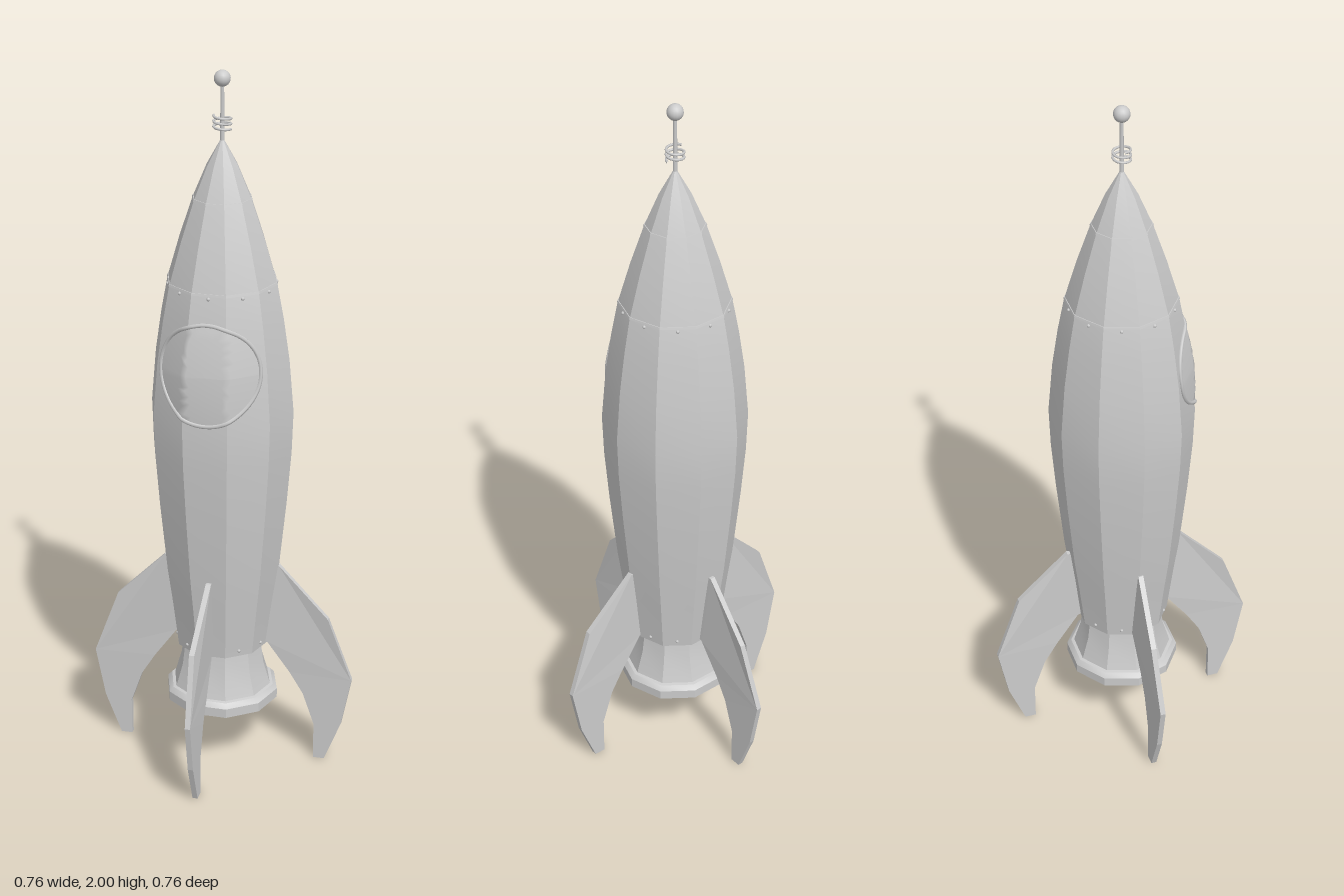
import * as THREE from 'three';
import { toCreasedNormals } from 'three/addons/utils/BufferGeometryUtils.js';
import { ParametricGeometry } from 'three/addons/geometries/ParametricGeometry.js';

const SIDES = 10;
const STEP = (Math.PI * 2) / SIDES;
const grey = new THREE.MeshStandardMaterial({ color: 0xcccccc });
const greyDouble = new THREE.MeshStandardMaterial({ color: 0xcccccc, side: THREE.DoubleSide });

// hull profile as [corner radius, height]
const HULL = [[0.132, 0.355], [0.15, 0.5], [0.164, 0.6], [0.184, 0.8], [0.196, 0.95], [0.2, 1.07],
  [0.187, 1.22], [0.17, 1.335], [0.152, 1.43], [0.117, 1.55], [0.08, 1.66], [0.042, 1.75], [0, 1.825]];

// value of a piecewise linear table of [value, key]
function lookup(table, key) {
  for (let i = 1; i < table.length; i++) {
    const [v0, k0] = table[i - 1], [v1, k1] = table[i];
    if (key <= k1) return THREE.MathUtils.mapLinear(Math.max(key, k0), k0, k1, v0, v1);
  }
  return table[table.length - 1][0];
}

// z of the faceted hull front at (x, y)
function hullZ(x, y) {
  const apothem = lookup(HULL, y) * Math.cos(STEP / 2);
  const slanted = (apothem - Math.abs(x) * Math.sin(STEP)) / Math.cos(STEP);
  return Math.min(apothem, slanted);
}

function add(parent, name, geometry, material = grey) {
  const mesh = new THREE.Mesh(geometry, material);
  mesh.name = name;
  parent.add(mesh);
  return mesh;
}

// ten-sided turned shape with sharp vertical edges
function turned(points) {
  const lathe = new THREE.LatheGeometry(points.map(p => new THREE.Vector2(...p)), SIDES, Math.PI / 2);
  return toCreasedNormals(lathe, 0.5);
}

// a curved fin blade that points along +x, bent slightly sideways
function finGeometry() {
  const thickness = 0.015;
  const outline = [[0.12, 0.6], [0.165, 0.602], [0.31, 0.455], [0.38, 0.265], [0.352, 0.12], [0.305, 0],
    [0.273, 0], [0.273, 0.11], [0.24, 0.205], [0.2, 0.27], [0.135, 0.36], [0.1, 0.37]];
  const shape = new THREE.Shape(outline.map(p => new THREE.Vector2(...p)));
  const geometry = new THREE.ExtrudeGeometry(shape, { depth: thickness, bevelEnabled: false });
  geometry.translate(0, 0, -thickness / 2);
  const bend = [[0, 0], [0, 0.265], [0.006, 0.455], [-0.003, 0.6]];
  const pos = geometry.attributes.position;
  for (let i = 0; i < pos.count; i++) pos.setZ(i, pos.getZ(i) + lookup(bend, pos.getY(i)));
  geometry.computeVertexNormals();
  return geometry;
}

// one rivet in the middle of each hull facet
function addRivets(parent, y) {
  const rivets = new THREE.Group();
  rivets.name = 'rivetRow';
  const r = lookup(HULL, y) * Math.cos(STEP / 2);
  const geometry = new THREE.SphereGeometry(0.005, 8, 6);
  for (let i = 0; i < SIDES; i++) {
    const a = (i + 0.5) * STEP;
    add(rivets, 'rivet', geometry).position.set(r * Math.cos(a), y, r * Math.sin(a));
  }
  parent.add(rivets);
}

export function createModel() {
  const rocket = new THREE.Group();
  rocket.name = 'rocket';

  // hull, closed underneath
  add(rocket, 'hull', turned([[0, 0.355], ...HULL]));

  // thin raised seams between hull sections
  for (const y of [1.435, 1.66]) {
    const r0 = lookup(HULL, y - 0.003), r1 = lookup(HULL, y + 0.003);
    add(rocket, 'hullSeam', turned([[r0 - 0.002, y - 0.003], [r0 + 0.002, y - 0.003],
      [r1 + 0.002, y + 0.003], [r1 - 0.002, y + 0.003]]));
  }
  addRivets(rocket, 1.425);
  addRivets(rocket, 0.372);

  // hollow exhaust bell with a rim
  add(rocket, 'nozzle', turned([[0.09, 0.355], [0.11, 0.285], [0.135, 0.22], [0.147, 0.18],
    [0.162, 0.18], [0.162, 0.207], [0.15, 0.22], [0.141, 0.222], [0.121, 0.29], [0.113, 0.356]]), greyDouble);

  // four fins
  const fin = finGeometry();
  ['leftFin', 'frontFin', 'rightFin', 'backFin'].forEach((name, i) => {
    add(rocket, name, fin).rotation.y = -i * Math.PI / 2;
  });

  // window that follows the hull, with its frame
  const windowY = 1.22, windowR = 0.137;
  const onHull = (angle, radius, lift, target = new THREE.Vector3()) => {
    const x = radius * Math.cos(angle), y = windowY + radius * Math.sin(angle);
    return target.set(x, y, hullZ(x, y) + lift);
  };
  const glass = new ParametricGeometry((u, v, target) => {
    onHull(u * Math.PI * 2, v * windowR, 0.003 + 0.009 * (1 - v * v), target);
  }, 40, 8);
  add(rocket, 'windowGlass', glass, greyDouble);
  const framePoints = [];
  for (let i = 0; i < 40; i++) framePoints.push(onHull((i / 40) * Math.PI * 2, windowR, 0.002));
  const frameCurve = new THREE.CatmullRomCurve3(framePoints, true);
  add(rocket, 'windowFrame', new THREE.TubeGeometry(frameCurve, 80, 0.006, 6, true));

  // antenna: rod, coil and ball
  const antenna = new THREE.Group();
  antenna.name = 'antenna';
  add(antenna, 'antennaRod', new THREE.CylinderGeometry(0.005, 0.006, 0.18, 8)).position.y = 1.885;
  add(antenna, 'antennaBall', new THREE.SphereGeometry(0.022, 16, 12)).position.y = 1.978;
  const coilPoints = [];
  for (let i = 0; i <= 30; i++) {
    const a = (i / 30) * Math.PI * 5;
    coilPoints.push(new THREE.Vector3(0.023 * Math.cos(a), 1.845 + 0.035 * (i / 30), 0.023 * Math.sin(a)));
  }
  add(antenna, 'antennaCoil', new THREE.TubeGeometry(new THREE.CatmullRomCurve3(coilPoints), 60, 0.0035, 6));
  rocket.add(antenna);

  return rocket;
}
